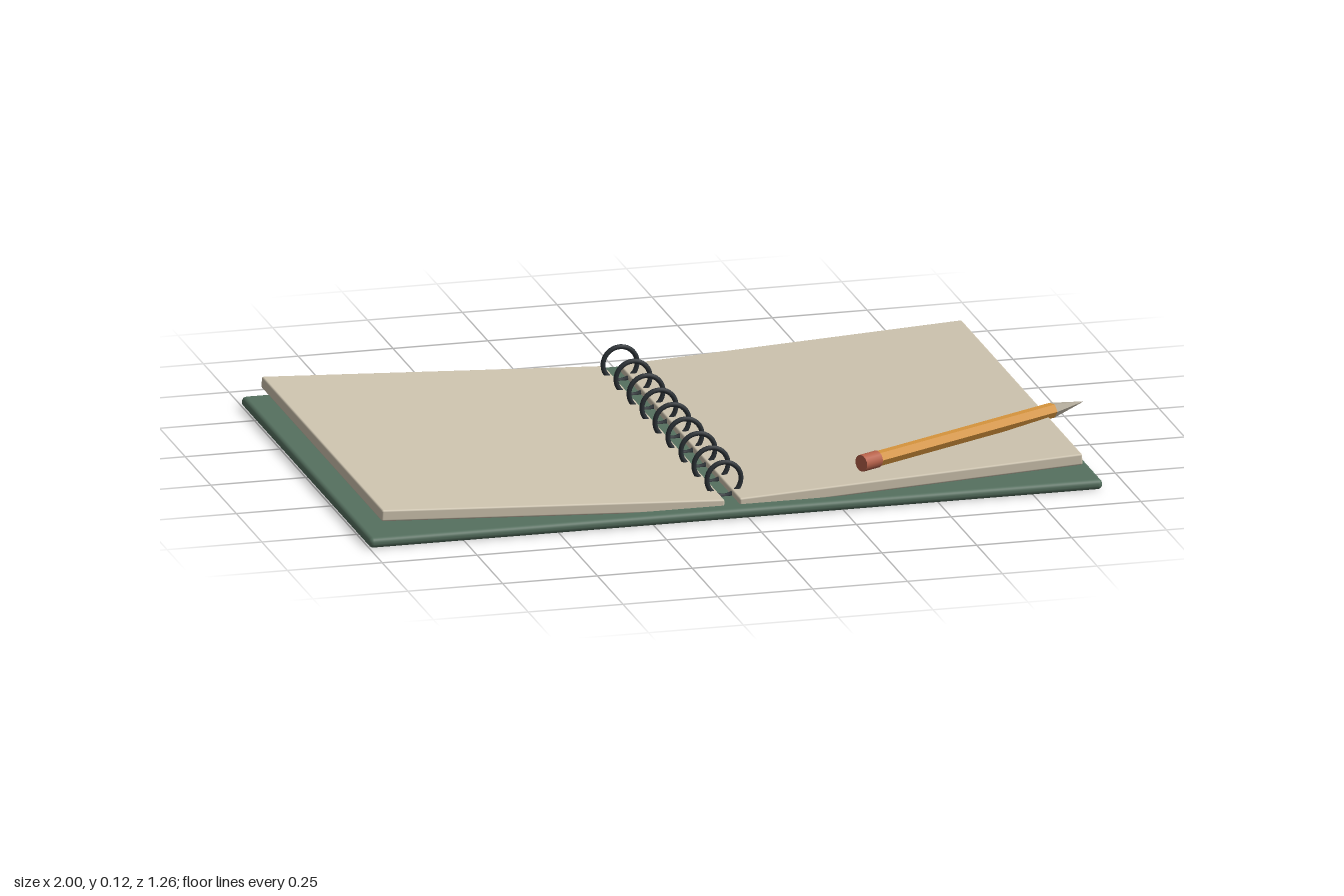
import * as THREE from 'three';
import { RoundedBoxGeometry } from 'three/addons/geometries/RoundedBoxGeometry.js';

const SPINE_X = -0.034;

function part(name, geometry, color, parent, flatShading = false) {
  const mesh = new THREE.Mesh(geometry, new THREE.MeshStandardMaterial({ color, flatShading }));
  mesh.name = name;
  parent.add(mesh);
  return mesh;
}

// Hexagonal pencil lying along +x, eraser end at the origin
function makePencil(length) {
  const pencil = new THREE.Group();
  pencil.name = 'pencil';
  const eraserLength = 0.055, tipLength = 0.11, radius = 0.02;
  const bodyLength = length - eraserLength - tipLength;
  const section = (name, start, len, rEnd, rStart, sides, color) => {
    const geo = new THREE.CylinderGeometry(rEnd, rStart, len, sides);
    geo.rotateZ(-Math.PI / 2);
    geo.translate(start + len / 2, 0, 0);
    return part(name, geo, color, pencil, sides === 6);
  };
  section('eraser', 0, eraserLength, 0.022, 0.022, 16, 0xb8624a);
  section('pencilBody', eraserLength, bodyLength, radius, radius, 6, 0xd6943c);
  section('pencilTip', length - tipLength, tipLength, 0, radius, 6, 0xb0a898);
  return pencil;
}

export function createModel() {
  const model = new THREE.Group();
  model.name = 'openNotebook';

  // Cover lying flat
  const cover = part('cover', new RoundedBoxGeometry(1.934, 0.027, 1.26, 3, 0.0125), 0x55705f, model);
  cover.position.set(SPINE_X, 0.0135, 0);

  // Two page blocks rising gently toward their outer edges
  for (const side of [-1, 1]) {
    const pages = part(side < 0 ? 'rightPages' : 'leftPages',
      new RoundedBoxGeometry(0.905, 0.03, 1.18, 2, 0.005), 0xcfc5b0, model);
    pages.position.set(SPINE_X + side * 0.472, 0.05, 0);
    pages.rotation.z = side * 0.05;
  }

  // Binding rings along the spine
  const ringGeometry = new THREE.TorusGeometry(0.045, 0.0065, 10, 32);
  const rings = new THREE.Group();
  rings.name = 'bindingRings';
  model.add(rings);
  for (let i = 0; i < 9; i++) {
    part('ring', ringGeometry, 0x2b3136, rings).position.set(SPINE_X, 0.071, (i - 4) * 0.127);
  }

  // Pencil resting across the page corner
  const start = new THREE.Vector3(0.316, 0.098, 0.553);
  const dx = 1 - start.x, dz = 0.192 - start.z;
  const pencil = makePencil(Math.hypot(dx, dz));
  pencil.position.copy(start);
  pencil.rotation.y = Math.atan2(-dz, dx);
  model.add(pencil);

  return model;
}
